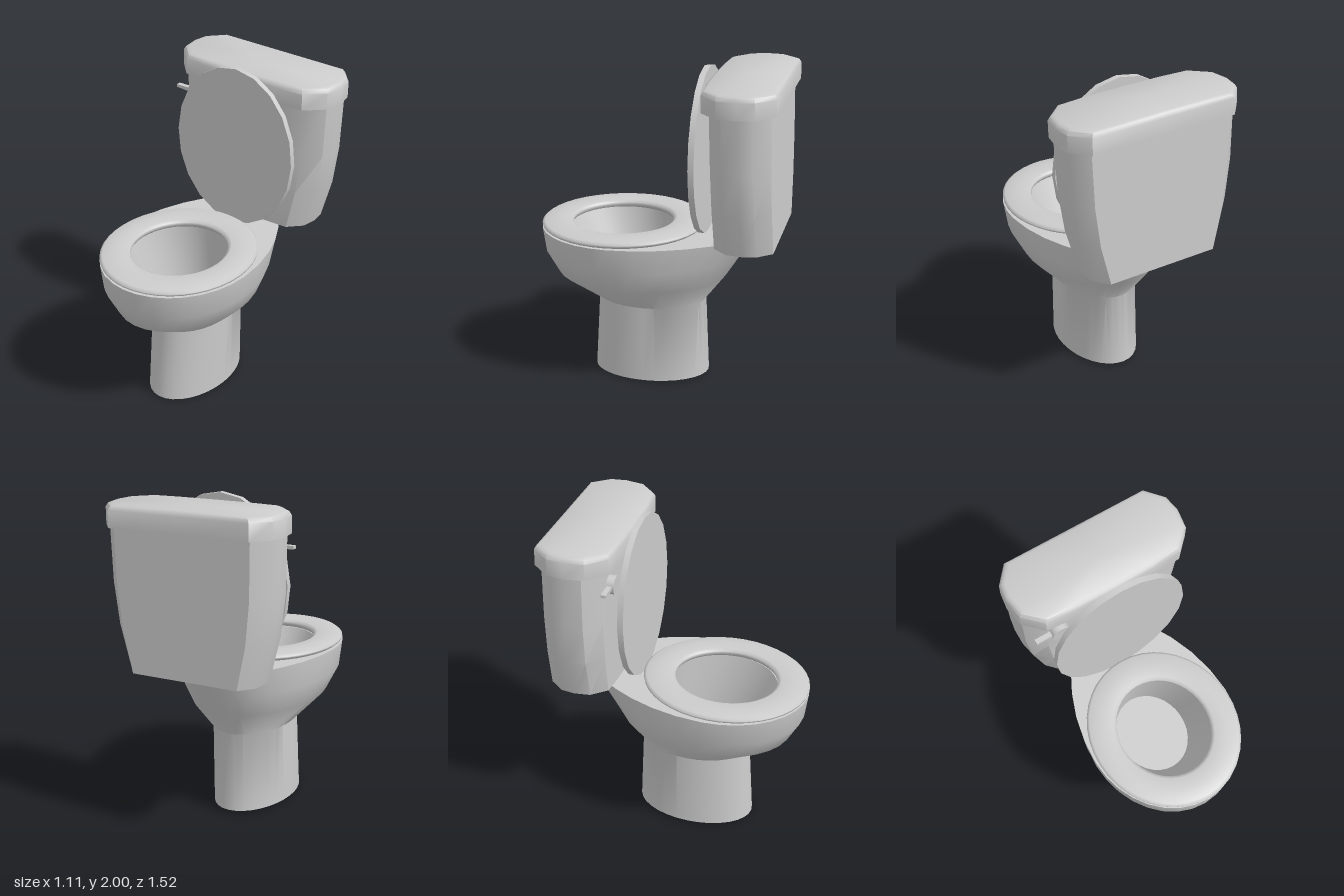
import * as THREE from 'three';
import { toCreasedNormals } from 'three/addons/utils/BufferGeometryUtils.js';

const material = new THREE.MeshStandardMaterial({ color: 0xcccccc });

function addMesh(parent, name, geometry) {
  const mesh = new THREE.Mesh(geometry, material);
  mesh.name = name;
  parent.add(mesh);
  return mesh;
}

// Skin a list of equal-length rings and cap both ends
function loft(rings, crease) {
  const n = rings[0].length;
  const points = rings.flat();
  const index = [];
  for (let i = 0; i < rings.length - 1; i++) {
    for (let j = 0; j < n; j++) {
      const k = (j + 1) % n;
      const a = i * n + j, b = i * n + k;
      index.push(a, b, b + n, a, b + n, a + n);
    }
  }
  const addCap = (ring, start, up) => {
    const centre = ring.reduce((sum, p) => sum.add(p), new THREE.Vector3()).divideScalar(n);
    const c = points.push(centre) - 1;
    for (let j = 0; j < n; j++) {
      const a = start + j, b = start + (j + 1) % n;
      index.push(c, up ? a : b, up ? b : a);
    }
  };
  addCap(rings[0], 0, false);
  addCap(rings[rings.length - 1], (rings.length - 1) * n, true);
  const geometry = new THREE.BufferGeometry().setFromPoints(points);
  geometry.setIndex(index);
  return toCreasedNormals(geometry, crease);
}

// Egg-shaped ring: half width, front z, back z, z of the widest point, narrowing of the tail
function eggRing(y, halfWidth, front, back, widest, taper = 0) {
  const n = 32;
  return Array.from({ length: n }, (_, i) => {
    const t = (i / n) * Math.PI * 2;
    const c = Math.cos(t);
    const narrow = c < 0 ? 1 - taper * c * c : 1;
    const z = widest + c * (c > 0 ? front - widest : widest - back);
    return new THREE.Vector3(Math.sin(t) * halfWidth * narrow, y, z);
  });
}

// Tank outline, half of it mirrored; offsets in z are from the tank's middle
const tankHalf = [
  [0, 0.225], [0.25, 0.22], [0.43, 0.205], [0.535, 0.1], [0.555, -0.02],
  [0.54, -0.12], [0.45, -0.225], [0, -0.225],
];
const tankOutline = [
  ...tankHalf,
  ...tankHalf.slice(1, -1).reverse().map(([x, z]) => [-x, z]),
];
function tankRing(y, scaleX, scaleZ, middle) {
  return tankOutline.map(([x, z]) => new THREE.Vector3(x * scaleX, y, middle + z * scaleZ));
}

export function createModel() {
  const root = new THREE.Group();
  root.name = 'toilet';

  // Everything but the raised lid leans slightly forward and sideways
  const body = new THREE.Group();
  body.name = 'body';
  body.rotation.set(0.022, 0, -0.025);
  body.position.set(-0.05, 0.012, 0);
  root.add(body);

  // Pedestal and bowl in one skin: up the outside, over the rim, down to the bowl floor
  addMesh(body, 'pedestalAndBowl', loft([
    eggRing(0, 0.232, 0.44, -0.30, 0.07),
    eggRing(0.5, 0.233, 0.395, -0.29, 0.055),
    eggRing(0.665, 0.385, 0.65, -0.42, 0.13, 0.05),
    eggRing(0.81, 0.45, 0.722, -0.515, 0.18, 0.12),
    eggRing(0.968, 0.465, 0.738, -0.63, 0.2, 0.2),
    eggRing(0.968, 0.29, 0.54, -0.105, 0.218),
    eggRing(0.6, 0.22, 0.375, -0.145, 0.115),
  ], 0.7));

  // Seat ring with a rounded section
  const seatProfile = [
    [0.435, 0.966], [0.453, 0.98], [0.455, 0.992], [0.44, 1.005], [0.37, 1.015],
    [0.3, 1.011], [0.282, 1.0], [0.28, 0.985], [0.29, 0.966], [0.435, 0.966],
  ].map(([x, y]) => new THREE.Vector2(x, y));
  const seat = addMesh(body, 'seat', new THREE.LatheGeometry(seatProfile, 40));
  seat.scale.z = 1.12;
  seat.position.z = 0.226;

  // Tank flares out towards the top
  const tankWidths = [[0.97, 0.766], [1.23, 0.895], [1.48, 0.955], [1.83, 0.975]];
  addMesh(body, 'tank', loft(
    tankWidths.map(([y, width]) => tankRing(y, width, 0.82, -0.587)), 0.65));

  // Tank cover with a bevelled top edge
  addMesh(body, 'tankCover', loft([
    tankRing(1.815, 1, 1, -0.58),
    tankRing(1.915, 1, 1, -0.58),
    tankRing(1.937, 0.975, 0.95, -0.58),
    tankRing(1.945, 0.94, 0.88, -0.58),
  ], 0.65));

  // Flush handle: round pivot and a thin tapered lever
  const handle = new THREE.Group();
  handle.name = 'flushHandle';
  handle.position.set(-0.35, 1.715, -0.38);
  body.add(handle);
  const pivot = addMesh(handle, 'handlePivot', new THREE.CylinderGeometry(0.055, 0.055, 0.045, 16));
  pivot.rotation.x = Math.PI / 2;
  const leverShape = new THREE.Shape([
    [0, -0.03], [0, 0.03], [-0.06, 0.012], [-0.152, 0.01], [-0.152, -0.008], [-0.06, -0.012],
  ].map(([x, y]) => new THREE.Vector2(x, y)));
  const lever = addMesh(handle, 'handleLever',
    new THREE.ExtrudeGeometry(leverShape, { depth: 0.03, bevelEnabled: false }));
  lever.position.z = -0.018;

  // Raised lid: a flat upright oval
  const lidGeometry = new THREE.CylinderGeometry(1, 1, 0.035, 20);
  lidGeometry.rotateX(-Math.PI / 2);
  lidGeometry.scale(0.43, 0.51, 1);
  const lid = addMesh(root, 'raisedLid', lidGeometry);
  lid.position.set(-0.012, 1.49, -0.278);
  lid.rotation.z = -0.025;

  return root;
}
